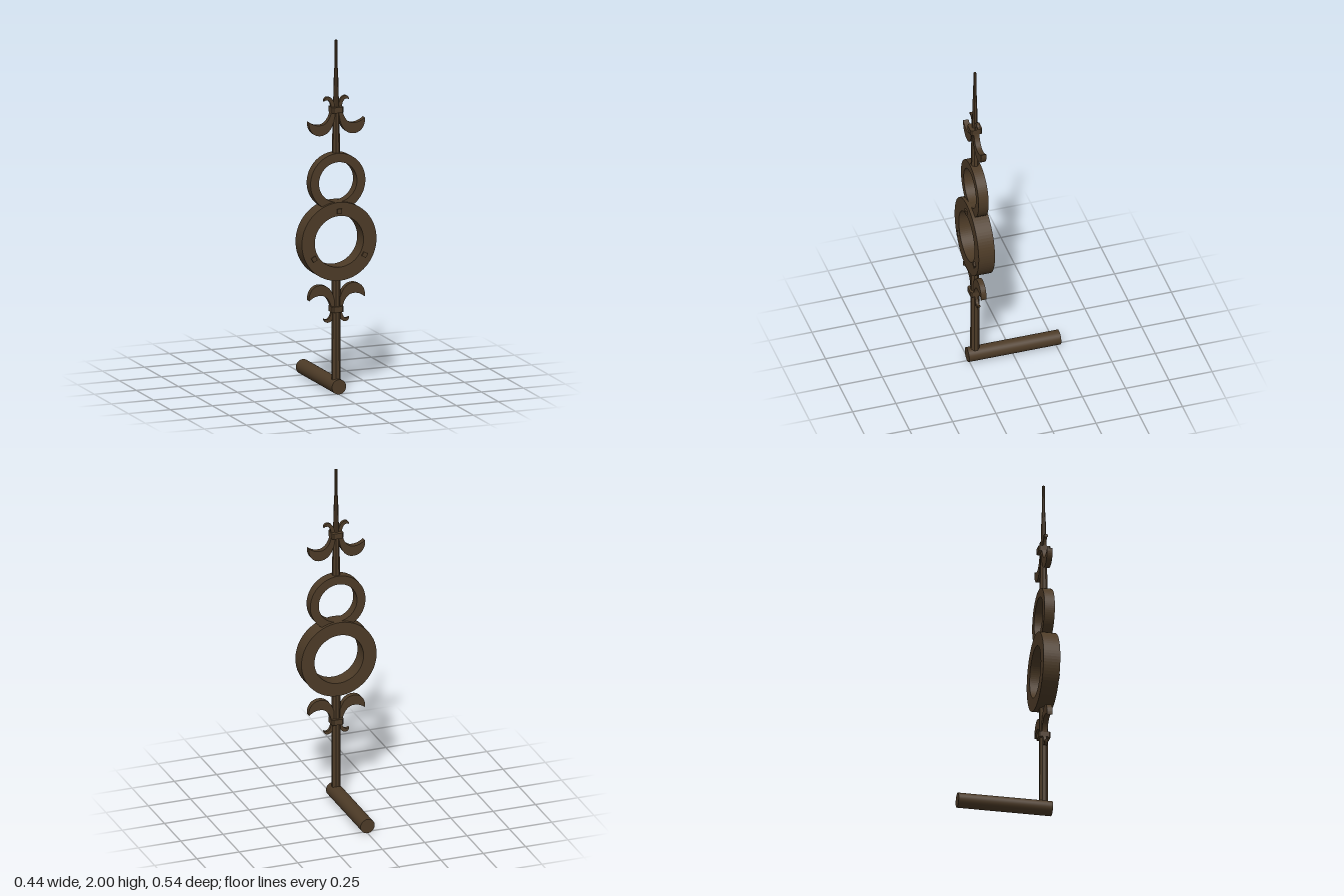
import * as THREE from 'three';

const Z = 0.215; // depth of the upright's axis

export function createModel() {
  const model = new THREE.Group();
  const iron = new THREE.MeshStandardMaterial({ color: 0x4d3b27 });
  iron.name = 'darkBronze';

  const add = (parent, name, geometry, x = 0, y = 0, z = 0) => {
    const mesh = new THREE.Mesh(geometry, iron);
    mesh.name = name;
    mesh.position.set(x, y, z);
    parent.add(mesh);
    return mesh;
  };

  // Extrusion centred on its own depth
  const plate = (shape, depth, curveSegments) =>
    new THREE.ExtrudeGeometry(shape, { depth, bevelEnabled: false, curveSegments })
      .translate(0, 0, -depth / 2);

  // Eight-sided bar with flats facing front and sides
  const bar = (name, r0, r1, y0, y1) => {
    const g = new THREE.CylinderGeometry(r1, r0, y1 - y0, 8).toNonIndexed();
    g.rotateY(Math.PI / 8);
    g.computeVertexNormals();
    add(model, name, g, 0, (y0 + y1) / 2, Z);
  };

  const ring = (name, outer, inner, depth, y) => {
    const shape = new THREE.Shape().absarc(0, 0, outer, 0, Math.PI * 2);
    shape.holes.push(new THREE.Path().absarc(0, 0, inner, 0, Math.PI * 2, true));
    add(model, name, plate(shape, depth, 40), 0, y, Z);
  };

  // Horizontal foot rod
  const rod = new THREE.CylinderGeometry(0.042, 0.042, 0.532, 32).rotateX(Math.PI / 2);
  add(model, 'footRod', rod, 0, 0.042, -0.006);

  // Upright and tapering spike
  bar('lowerPost', 0.026, 0.024, 0.05, 0.66);
  bar('upperPost', 0.023, 0.018, 1.35, 1.61);
  bar('spike', 0.017, 0.011, 1.61, 1.84);
  bar('spikeTip', 0.0095, 0.008, 1.84, 2.0);

  // Rings
  ring('largeRing', 0.222, 0.145, 0.094, 0.867);
  ring('smallRing', 0.163, 0.113, 0.058, 1.2);

  // Square studs on the large ring
  for (let i = 0; i < 3; i++) {
    const a = Math.PI / 2 + i * Math.PI * 2 / 3;
    const stud = add(model, 'stud', new THREE.BoxGeometry(0.027, 0.027, 0.02),
      0.173 * Math.cos(a), 0.867 + 0.173 * Math.sin(a), 0.261);
    stud.rotation.z = a;
  }

  // Crescent leaves, drawn for the right-hand side of a collar
  const bigLeaf = new THREE.Shape();
  bigLeaf.moveTo(0.01, -0.005);
  bigLeaf.lineTo(0.034, -0.012);
  bigLeaf.bezierCurveTo(0.04, -0.05, 0.065, -0.078, 0.09, -0.082);
  bigLeaf.bezierCurveTo(0.12, -0.086, 0.145, -0.075, 0.165, -0.058);
  bigLeaf.bezierCurveTo(0.172, -0.1, 0.145, -0.142, 0.1, -0.142);
  bigLeaf.bezierCurveTo(0.05, -0.142, 0.015, -0.1, 0.01, -0.005);

  const smallLeaf = new THREE.Shape();
  smallLeaf.moveTo(0.01, 0.005);
  smallLeaf.bezierCurveTo(0.01, 0.045, 0.028, 0.073, 0.05, 0.075);
  smallLeaf.bezierCurveTo(0.064, 0.076, 0.075, 0.066, 0.075, 0.05);
  smallLeaf.bezierCurveTo(0.06, 0.064, 0.034, 0.06, 0.03, 0.005);

  // Collar with its leaves
  const finial = (name, y, turn) => {
    const group = new THREE.Group();
    group.name = name;
    group.position.set(0, y, Z);
    group.rotation.z = turn;
    const band = new THREE.Shape();
    const w = 0.034, c = 0.008;
    [[w, w - c], [w - c, w], [c - w, w], [-w, w - c], [-w, c - w], [c - w, -w], [w - c, -w], [w, c - w]]
      .forEach(([px, py], i) => (i ? band.lineTo(px, py) : band.moveTo(px, py)));
    add(group, 'collar', plate(band, 0.032, 1).rotateX(Math.PI / 2));
    for (const side of [0, Math.PI]) {
      add(group, 'largeLeaf', plate(bigLeaf, 0.031, 12)).rotation.y = side;
      add(group, 'smallLeaf', plate(smallLeaf, 0.017, 8)).rotation.y = side;
    }
    model.add(group);
  };
  finial('upperFinial', 1.608, 0);
  finial('lowerFinial', 0.478, Math.PI);

  return model;
}
